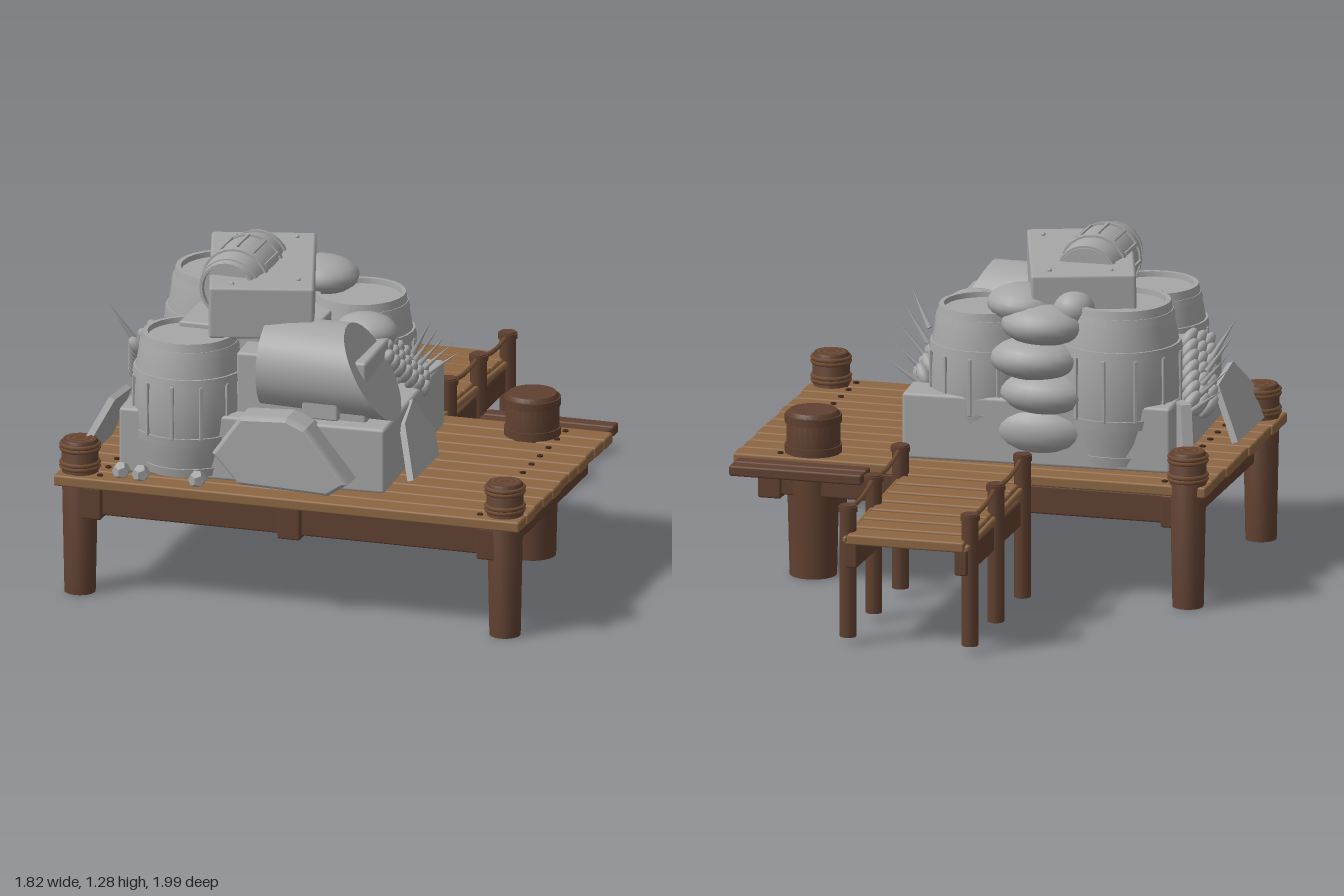
import * as THREE from 'three';
import { toCreasedNormals } from 'three/addons/utils/BufferGeometryUtils.js';
import { RoundedBoxGeometry } from 'three/addons/geometries/RoundedBoxGeometry.js';

export function createModel() {
  const root = new THREE.Group();
  const colour = (name, hex) => {
    const m = new THREE.MeshStandardMaterial({ color: hex });
    m.name = name;
    return m;
  };
  const plankWood = colour('plank wood', 0x8c6642);
  const darkWood = colour('dark wood', 0x5f4030);
  const rope = colour('rope', 0x6e4b33);
  const nailIron = colour('nail iron', 0x40291d);
  const stone = colour('grey cargo', 0xa6a6a6);

  const add = (name, geo, mat, x = 0, y = 0, z = 0, rx = 0, ry = 0, rz = 0, parent = root) => {
    const m = new THREE.Mesh(geo, mat);
    m.name = name;
    m.position.set(x, y, z);
    m.rotation.set(rx, ry, rz);
    parent.add(m);
    return m;
  };
  const box = (w, h, d, r = 0.008) => new RoundedBoxGeometry(w, h, d, 1, r);
  const lathe = (pts, seg = 24) => toCreasedNormals(
    new THREE.LatheGeometry(pts.map(p => new THREE.Vector2(p[0], p[1])), seg), 0.6);

  // Main deck planks and their nails
  const pitch = 1.13 / 11;
  for (let i = 0; i < 11; i++) {
    const z = -0.13 + pitch * (i + 0.5);
    add('deckPlank', box(1.82 - (i % 3) * 0.006, 0.042, pitch - 0.007), plankWood, 0, 0.448, z);
    for (const x of [-0.74, 0.74]) add('nail', new THREE.CylinderGeometry(0.012, 0.012, 0.006, 8), nailIron, x, 0.471, z);
  }

  // Supporting beams
  for (const x of [-0.775, 0, 0.775]) add('longBeam', box(0.09, 0.125, 1.08), darkWood, x, 0.363, 0.43);
  for (const z of [-0.06, 0.91]) add('crossBeam', box(1.6, 0.11, 0.08), darkWood, 0, 0.37, z);
  add('middleBeam', box(1.55, 0.1, 0.07), darkWood, 0, 0.37, 0.43);

  // Corner posts with rope-bound heads
  for (const [x, z] of [[-0.83, -0.08], [-0.83, 0.91], [0.825, 0.91]]) {
    add('cornerPost', lathe([[0, 0], [0.058, 0], [0.07, 0.58], [0.062, 0.595], [0, 0.595]]), darkWood, x, 0, z);
    for (const y of [0.49, 0.505, 0.56, 0.575])
      add('postBinding', new THREE.TorusGeometry(0.069, 0.009, 6, 24), rope, x, y, z, Math.PI / 2);
    for (const r of [0.02, 0.042])
      add('postGrowthRing', new THREE.RingGeometry(r, r + 0.01, 20), rope, x, 0.597, z, -Math.PI / 2);
  }

  // Mooring post
  add('mooringPost', lathe([[0, 0], [0.088, 0], [0.1, 0.48], [0.1, 0.615], [0.09, 0.63], [0, 0.63]], 28), darkWood, 0.63, 0, -0.02);
  for (const y of [0.485, 0.6])
    add('mooringPostBand', new THREE.CylinderGeometry(0.106, 0.106, 0.03, 28), darkWood, 0.63, y, -0.02);

  // Rear boarding planks
  for (const z of [-0.24, -0.17]) add('boardingPlank', box(0.51, 0.04, 0.062), darkWood, 0.63, 0.44, z);

  // Walkway behind the deck, dropping slightly toward its end
  const step = 0.87 / 8;
  for (let i = 0; i < 8; i++)
    add('walkwayPlank', box(0.45, 0.04, step - 0.008), plankWood, 0, 0.45 - i * 0.005, -0.13 - step * (i + 0.5));
  for (const x of [-0.235, 0.235]) {
    add('walkwayBeam', box(0.05, 0.1, 0.86), darkWood, x * 0.9, 0.355, -0.56);
    add('walkwayEdge', box(0.018, 0.025, 0.86), plankWood, x, 0.43, -0.56, -0.045);
    const posts = [[-0.23, 0.58], [-0.59, 0.56], [-0.94, 0.535]];
    for (const [z, top] of posts) {
      add('walkwayPost', new THREE.CylinderGeometry(0.031, 0.031, top - 0.03, 10), darkWood, x, (top + 0.03) / 2, z);
      add('walkwayPostCap', new THREE.CylinderGeometry(0.037, 0.037, 0.02, 12), darkWood, x, top - 0.015, z);
    }
    for (let i = 0; i < 2; i++) {
      const [a, b] = [posts[i], posts[i + 1]];
      const curve = new THREE.QuadraticBezierCurve3(
        new THREE.Vector3(x, a[1] - 0.01, a[0]),
        new THREE.Vector3(x, (a[1] + b[1]) / 2 - 0.06, (a[0] + b[0]) / 2),
        new THREE.Vector3(x, b[1] - 0.01, b[0]));
      add('railRope', new THREE.TubeGeometry(curve, 14, 0.009, 6), rope);
    }
  }

  // Grey cargo pile
  const cargo = new THREE.Group();
  cargo.name = 'cargoPile';
  root.add(cargo);
  const pile = (name, geo, ...t) => {
    while (t.length < 6) t.push(0);
    return add(name, geo, stone, ...t, cargo);
  };

  // Barrels: bulged body, recessed lid, hoops and stave seams
  const barrel = (name, r, h, x, y, z, rx = 0, ry = 0, rz = 0) => {
    const g = new THREE.Group();
    g.name = name;
    g.position.set(x, y, z);
    g.rotation.set(rx, ry, rz);
    cargo.add(g);
    const rad = t => r * (0.82 + 0.18 * Math.sin(Math.PI * t));
    const pts = [[0, 0]];
    for (let i = 0; i <= 8; i++) pts.push([rad(i / 8), h * i / 8]);
    pts.push([r * 0.74, h], [r * 0.73, h - 0.02], [0, h - 0.02]);
    add('barrelBody', lathe(pts), stone, 0, 0, 0, 0, 0, 0, g);
    for (const t of [0.04, 0.28, 0.72, 0.96])
      add('barrelHoop', new THREE.CylinderGeometry(rad(t + 0.025) + 0.008, rad(t - 0.025) + 0.008, h * 0.06, 24), stone,
        0, h * t - (t > 0.9 ? 0.022 : 0), 0, 0, 0, 0, g).geometry.scale(1, t > 0.9 ? 0.8 : 1, 1);
    for (let i = 0; i < 12; i++) {
      const a = i * Math.PI / 6;
      add('barrelStave', box(0.014, h * 0.4, 0.012, 0.003), stone, Math.sin(a) * r, h / 2, Math.cos(a) * r, 0, a, 0, g);
    }
  };
  barrel('frontBarrel', 0.21, 0.52, -0.46, 0.48, 0.74);
  barrel('backLeftBarrel', 0.23, 0.6, -0.49, 0.48, 0.2);
  barrel('backRightBarrel', 0.205, 0.55, 0.03, 0.48, 0.19);
  barrel('smallTopBarrel', 0.13, 0.4, -0.34, 1.14, 0.26, Math.PI / 2, 0.05, 0);

  // Crates
  pile('baseCrate', box(1.02, 0.25, 0.86, 0.012), -0.2, 0.595, 0.43, 0, 0.05);
  pile('middleCrate', box(0.5, 0.25, 0.42, 0.012), -0.02, 0.825, 0.57, 0, 0.04);
  pile('innerCrate', box(0.5, 0.4, 0.5), -0.28, 0.8, 0.4);
  pile('topCrate', box(0.39, 0.2, 0.67, 0.012), -0.28, 1.09, 0.415, 0, 0.3, -0.01);
  pile('crateLatch', box(0.14, 0.13, 0.04), 0.07, 0.79, 0.79);
  pile('crateLatchBar', box(0.18, 0.02, 0.05, 0.005), 0.07, 0.86, 0.79);
  for (const [x, z] of [[-0.46, 0.18], [-0.24, 0.12], [-0.08, 0.6], [-0.3, 0.72]])
    pile('crateNail', new THREE.SphereGeometry(0.009, 8, 6), x, 1.192, z);

  // Log lying crosswise, its right end cut on a slant
  const log = new THREE.CylinderGeometry(0.175, 0.175, 0.4, 28);
  log.rotateZ(-Math.PI / 2);
  const p = log.attributes.position;
  for (let i = 0; i < p.count; i++) if (p.getX(i) > 0) p.setX(i, p.getX(i) - 0.55 * p.getY(i));
  pile('slantedLog', toCreasedNormals(log, 0.6), 0.03, 0.885, 0.665);

  // Broken slabs, each an extruded outline
  const slab = (name, pts, depth, bevel, ...t) => pile(name, new THREE.ExtrudeGeometry(
    new THREE.Shape(pts.map(q => new THREE.Vector2(q[0], q[1]))),
    { depth, bevelEnabled: bevel > 0, bevelThickness: bevel, bevelSize: bevel * 0.5, bevelSegments: 3 }), ...t);
  slab('frontBark', [[-0.29, 0.6], [-0.2, 0.5], [0.14, 0.49], [0.2, 0.53], [0.05, 0.72], [-0.02, 0.75], [-0.19, 0.74]],
    0.08, 0.03, 0, 0, 0.84);
  slab('rightSlab', [[-0.18, 0], [0.13, 0], [0.16, 0.1], [0.04, 0.25], [-0.1, 0.2]], 0.025, 0,
    0.37, 0.475, 0.5, 0, Math.PI / 2, 0).rotation.set(-0.3, Math.PI / 2, 0, 'YXZ');
  slab('leftSlab', [[-0.2, 0], [0.16, 0], [0.2, 0.12], [0.08, 0.25], [-0.16, 0.22]], 0.025, 0,
    -0.84, 0.475, 0.68).rotation.set(-0.4, -Math.PI / 2, 0, 'YXZ');
  slab('leftLeaningBoard', [[-0.16, 0], [0.14, 0], [0.12, 0.22], [-0.1, 0.25]], 0.04, 0,
    -0.72, 0.48, 0.14).rotation.set(0, -1.1, 0);
  pile('leftBlock', box(0.12, 0.34, 0.18), -0.64, 0.68, 0.55, 0, 0.15);
  for (const [x, z] of [[-0.66, 0.94], [-0.58, 0.95], [-0.36, 0.95]])
    pile('rubble', new THREE.DodecahedronGeometry(0.035), x, 0.495, z);

  // Stack of slumped sacks at the back
  for (const [x, y, z, sx, sy, sz] of [
    [-0.22, 0.6, 0.06, 0.19, 0.1, 0.1], [-0.24, 0.74, 0.05, 0.17, 0.08, 0.11],
    [-0.2, 0.87, 0.05, 0.17, 0.08, 0.12], [-0.23, 1.0, 0.07, 0.16, 0.08, 0.13],
    [-0.14, 1.06, 0.13, 0.14, 0.07, 0.13], [-0.34, 1.06, 0.1, 0.08, 0.07, 0.08],
    [0.12, 0.95, 0.4, 0.12, 0.07, 0.1]])
    pile('sack', new THREE.SphereGeometry(1, 18, 12), x, y, z).scale.set(sx, sy, sz);

  // Sheaves of spiky grain on both sides
  const sheaf = (side, x, y, z) => {
    for (let i = 0; i < 21; i++) {
      const row = i % 7, col = Math.floor(i / 7);
      const grain = pile('grain', new THREE.SphereGeometry(1, 8, 6),
        x + side * (0.02 * col - 0.012 * row), y + 0.03 * row - 0.02 * col, z - 0.11 + 0.045 * row * 0.8 + 0.05 * col, 0.6, 0, -side * 0.5);
      grain.scale.set(0.025, 0.052, 0.03);
    }
    for (let i = 0; i < 5; i++)
      pile('grainSpike', new THREE.ConeGeometry(0.012, 0.17, 6),
        x + side * 0.07, y + 0.02 + 0.045 * i, z - 0.14 + i * 0.06, 0.15 * (i - 2), 0, -side * (0.9 - 0.1 * i));
  };
  sheaf(1, 0.26, 0.74, 0.28);
  sheaf(-1, -0.76, 0.7, 0.32);

  return root;
}
